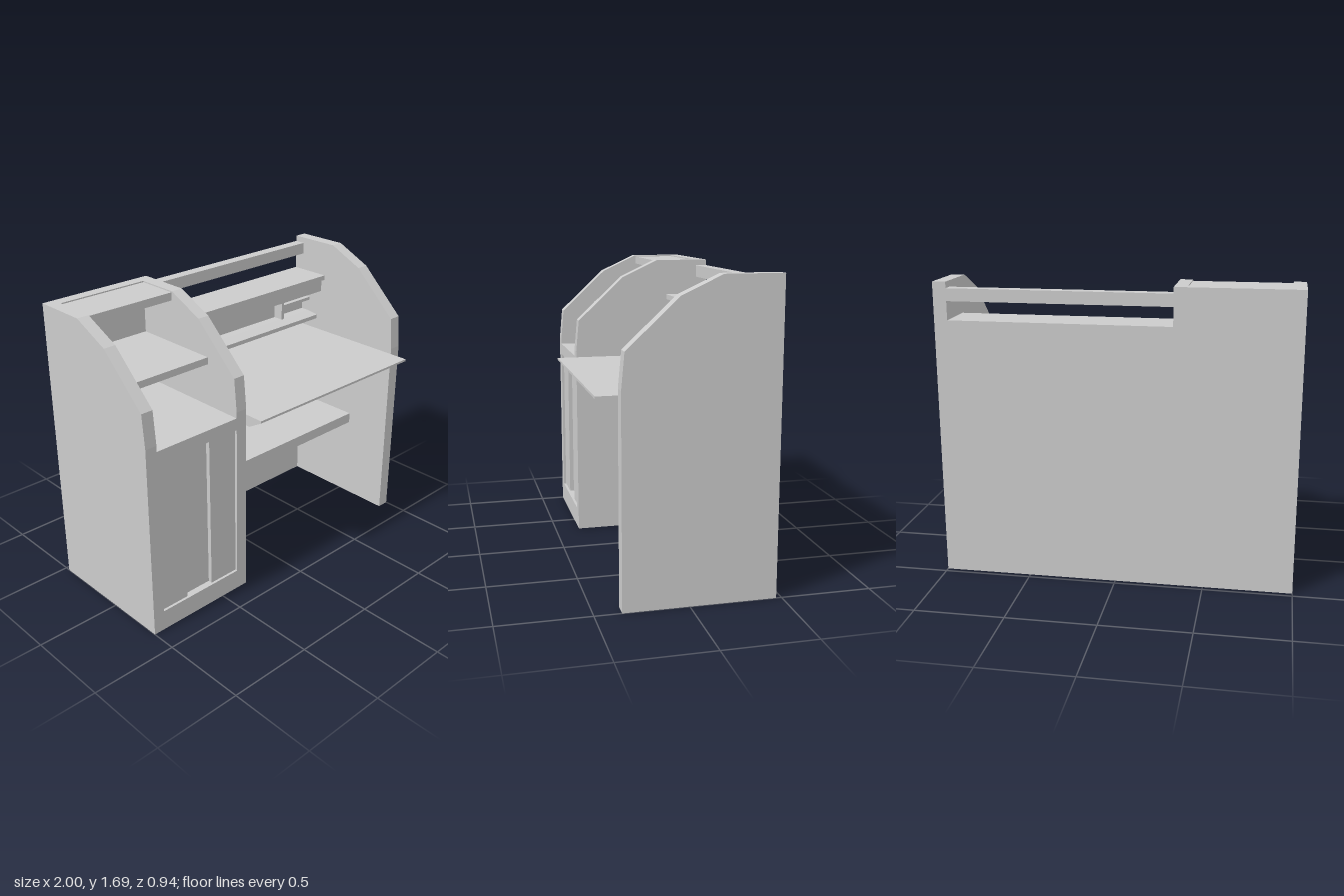
import * as THREE from 'three';

const material = new THREE.MeshStandardMaterial({ color: 0xcccccc, flatShading: true });

export function createModel() {
  const desk = new THREE.Group();
  desk.name = 'hutchDesk';

  const add = (name, geometry) => {
    const mesh = new THREE.Mesh(geometry, material);
    mesh.name = name;
    desk.add(mesh);
  };

  // Board given by its limits on each axis
  const board = (name, [x0, x1], [y0, y1], [z0, z1]) => {
    const g = new THREE.BoxGeometry(x1 - x0, y1 - y0, z1 - z0);
    g.translate((x0 + x1) / 2, (y0 + y1) / 2, (z0 + z1) / 2);
    add(name, g);
  };

  // Profile of [z, y] points extruded along x
  const profile = (name, points, [x0, x1]) => {
    const shape = new THREE.Shape(points.map(([z, y]) => new THREE.Vector2(-z, y)));
    const g = new THREE.ExtrudeGeometry(shape, { depth: x1 - x0, bevelEnabled: false });
    g.rotateY(Math.PI / 2);
    g.translate(x0, 0, 0);
    add(name, g);
  };

  const back = -0.47, inner = -0.405, front = 0.355;
  const left = [-0.93, -0.385];   // cabinet bay
  const bay = [-0.315, 0.925];    // knee-hole bay

  // Three upright panels with a faceted, curved front edge
  const side = [[back, 0], [front, 0], [front, 1.14], [0.337, 1.33],
    [0.06, 1.59], [-0.155, 1.69], [back, 1.69]];
  profile('cabinetOuterPanel', side, [-1, -0.93]);
  profile('cabinetInnerPanel', side, [-0.385, -0.315]);
  profile('deskEndPanel', side, [0.925, 1]);

  // Back boards and the open top rail
  board('cabinetBack', left, [0, 1.69], [back, inner]);
  board('deskBack', bay, [0, 1.48], [back, inner]);
  board('topRail', bay, [1.585, 1.655], [back, inner]);

  // Cabinet with sliding doors in a shallow recess
  board('cabinetBase', left, [0, 0.12], [inner, front]);
  board('cabinetCounter', left, [1.035, 1.105], [inner, front]);
  board('outerDoor', [-0.93, -0.75], [0.12, 1.035], [0.305, 0.34]);
  board('middleDoor', [-0.75, -0.57], [0.12, 1.035], [0.285, 0.315]);
  board('innerDoor', [-0.57, -0.385], [0.12, 1.035], [0.305, 0.34]);

  // Upper shelves over the cabinet
  board('hutchShelf', left, [1.35, 1.39], [inner, 0.13]);
  board('hutchTop', left, [1.637, 1.683], [inner, -0.16]);

  // Desktop with an undercut front edge, and the low shelf
  profile('desktop', [[inner, 1.04], [0.38, 1.04], [0.47, 1.092],
    [0.47, 1.105], [inner, 1.105]], bay);
  board('lowShelf', bay, [0.525, 0.59], [inner, 0.055]);

  // Organiser: top shelf, valance, sloping lower ledge and pigeonholes
  board('organiserTop', bay, [1.45, 1.48], [inner, -0.215]);
  board('organiserValance', bay, [1.37, 1.45], [inner, -0.24]);
  profile('organiserLedge', [[inner, 1.175], [-0.27, 1.175], [-0.27, 1.2],
    [-0.35, 1.212], [inner, 1.212]], bay);
  board('organiserDivider', [0.665, 0.685], [1.21, 1.37], [inner, -0.34]);
  board('pigeonholeShelf', [0.685, 0.925], [1.285, 1.305], [inner, -0.34]);

  return desk;
}
